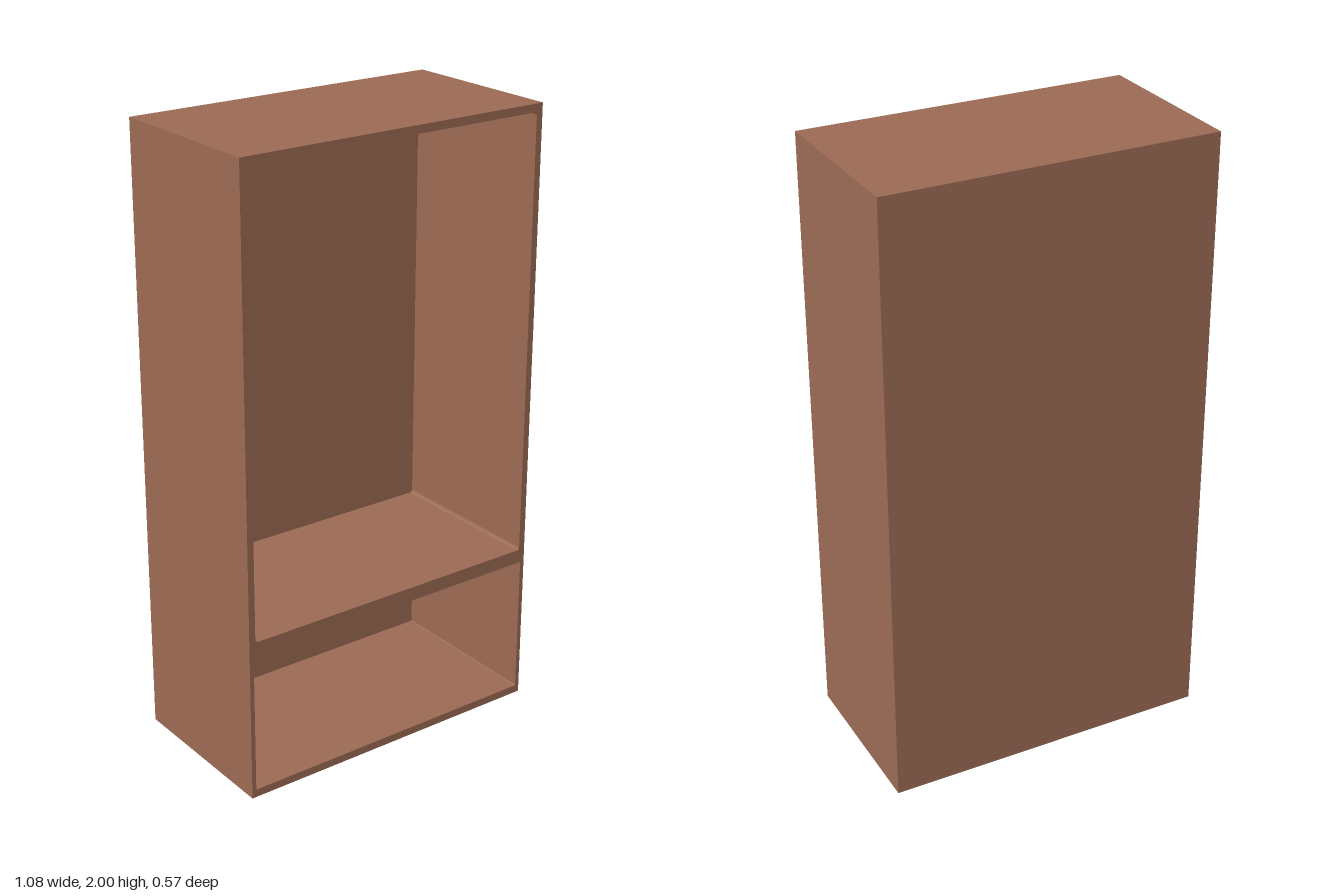
import * as THREE from 'three';

const W = 1.075, H = 2, D = 0.568, BACK = 0.01;

// Rectangle with slightly rounded corners, traced as a closed path
function roundedRect(path, x, y0, y1, r) {
  path.moveTo(-x + r, y0);
  path.lineTo(x - r, y0);
  path.quadraticCurveTo(x, y0, x, y0 + r);
  path.lineTo(x, y1 - r);
  path.quadraticCurveTo(x, y1, x - r, y1);
  path.lineTo(-x + r, y1);
  path.quadraticCurveTo(-x, y1, -x, y1 - r);
  path.lineTo(-x, y0 + r);
  path.quadraticCurveTo(-x, y0, -x + r, y0);
  return path;
}

export function createModel() {
  const group = new THREE.Group();
  group.name = 'bookcase';
  const wood = new THREE.MeshStandardMaterial({ color: 0x9c6b55 });

  // Carcass: sides, top, shelf and base in one piece with two openings
  const outline = new THREE.Shape([
    new THREE.Vector2(-W / 2, 0), new THREE.Vector2(W / 2, 0),
    new THREE.Vector2(W / 2, H), new THREE.Vector2(-W / 2, H),
  ]);
  outline.holes.push(
    roundedRect(new THREE.Path(), 0.516, 0.534, 1.974, 0.012),
    roundedRect(new THREE.Path(), 0.523, 0.026, 0.488, 0.004),
  );
  const carcassGeometry = new THREE.ExtrudeGeometry(outline, {
    depth: D - BACK, bevelEnabled: false, curveSegments: 4,
  });
  const carcass = new THREE.Mesh(carcassGeometry, wood);
  carcass.name = 'carcass';
  carcass.position.z = -D / 2 + BACK;

  // Thin panel closing the back
  const backPanel = new THREE.Mesh(new THREE.BoxGeometry(W, H, BACK), wood);
  backPanel.name = 'backPanel';
  backPanel.position.set(0, H / 2, -D / 2 + BACK / 2);

  group.add(carcass, backPanel);
  return group;
}
